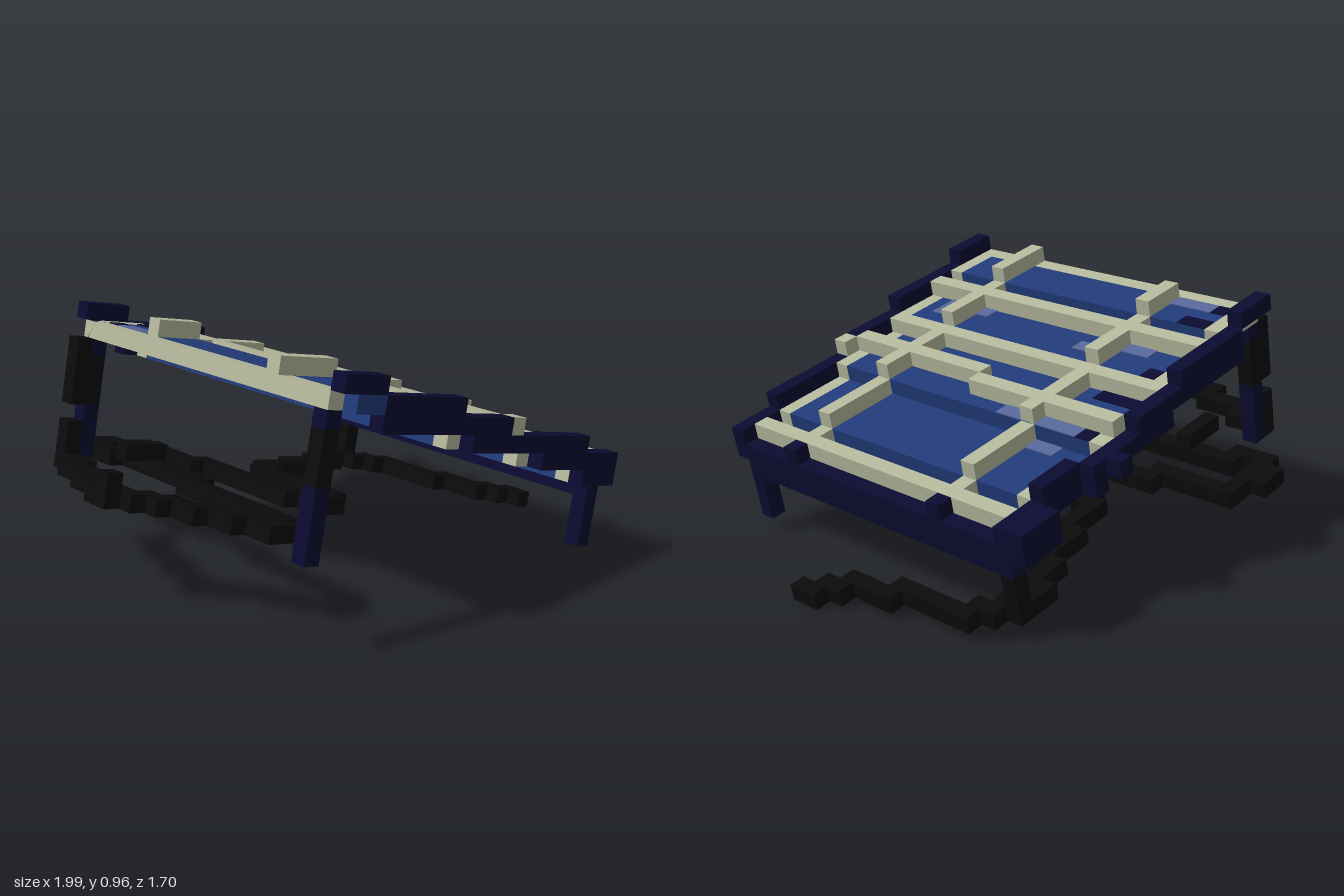
import * as THREE from 'three';

const S = 0.063; // block size
const mat = (name, color) => Object.assign(new THREE.MeshStandardMaterial({ color, flatShading: true }), { name });

export function createModel() {
  const navy = mat('navy frame', 0x0b0a30), beige = mat('beige slats', 0xb4b89c);
  const blue = mat('blue panel', 0x213a78), pale = mat('pale glint', 0x56669a), black = mat('black cable', 0x0b0b0b);
  const root = new THREE.Group(), tilted = new THREE.Group();
  root.name = 'solarTable';
  tilted.name = 'tiltedBlocks';
  root.rotation.y = 0.007;
  tilted.rotation.z = -0.1974;
  root.add(tilted);

  // Box over inclusive block ranges: i along x, k up, j from front to back
  function box(name, m, i0, i1, k0, k1, j0, j1, thin = 0) {
    const h = thin || (k1 - k0 + 1) * S;
    const mesh = new THREE.Mesh(new THREE.BoxGeometry((i1 - i0 + 1) * S, h, (j1 - j0 + 1) * S), m);
    mesh.position.set(-1.06 + (i0 + i1 + 1) / 2 * S, 0.193 + k0 * S + h / 2, 0.85 - (j0 + j1 + 1) / 2 * S);
    mesh.name = name;
    tilted.add(mesh);
  }

  // Stepped panel: [first column, last column, row, last blue block in depth]
  const steps = [[4, 7, 8, 22], [8, 12, 7, 22], [13, 18, 6, 22], [19, 19, 5, 22], [20, 23, 5, 21], [24, 25, 4, 21]];
  for (const [a, b, k, back] of steps) {
    box('panelStep', blue, Math.max(a, 5), b, k, k, 2, back - 1);
    box('frontBorder', beige, a, b, k, k, 1, 1);
    box('backBorder', beige, a, b, k, k, back, back);
    // raised cross slats following the steps
    box('crossSlat', beige, a, b, k + 1, k + 1, 5, 5);
    box('crossSlat', beige, Math.max(a, 5), b, k + 1, k + 1, 17, 17);
  }
  box('panelEdge', blue, 5, 6, 8, 8, 0, 0);

  // Long slats: [column, row, front, back]
  for (const [i, k, a, b] of [[4, 8, 1, 22], [9, 8, 1, 22], [13, 7, 1, 22], [16, 7, 1, 11], [17, 7, 12, 22], [25, 5, 1, 21], [17, 7, 0, 0]])
    box('longSlat', beige, i, i, k, k, a, b);

  // Pale and dark marks on the panel: [colour, column, row below, front, back]
  const marks = [
    [pale, 5, 8, 17, 20], [pale, 10, 7, 16, 19], [pale, 11, 7, 15, 16], [pale, 18, 6, 15, 20],
    [pale, 19, 5, 16, 19], [pale, 20, 5, 16, 16], [pale, 10, 7, 3, 6], [pale, 11, 7, 3, 4],
    [navy, 5, 8, 21, 21], [navy, 7, 8, 20, 21], [navy, 12, 7, 21, 21], [navy, 14, 6, 19, 21], [navy, 18, 6, 21, 21],
  ];
  for (const [m, i, k, a, b] of marks) box('panelMark', m, i, i, k + 1, k + 1, a, b, 0.004);

  // Stepped side rails: [first column, last column, row]
  const rail = [[4, 6, 9], [7, 12, 8], [7, 16, 7], [14, 23, 6], [20, 26, 5], [24, 26, 4]];
  for (const [a, b, k] of rail) {
    box('frontRail', navy, a, b, k, k, 0, 0);
    if (a < 21) box('backRail', navy, a, Math.min(b, 20), k, k, 23, 23);
    if (b > 20) box('backRail', navy, Math.max(a, 21), b, k, k, 22, 22);
  }
  box('backCorner', navy, 24, 26, 4, 5, 23, 23);
  box('backKnob', navy, 19, 19, 6, 6, 24, 24);
  box('lowRail', navy, 26, 26, 3, 4, 1, 22);
  box('railKnob', navy, 26, 26, 5, 5, 5, 5);
  box('railKnob', navy, 26, 26, 5, 5, 17, 17);

  // Legs
  for (const j of [1, 22]) {
    box('tallLeg', navy, 4, 4, 0, 3, j, j);
    box('tallLegCable', black, 4, 4, 4, 6, j, j);
    box('tallLeg', navy, 4, 4, 7, j === 1 ? 7 : 8, j, j);
  }
  box('shortLeg', navy, 26, 26, 0, 2, 1, 1);
  box('shortLegCable', black, 26, 26, 0, 2, 22, 22);

  // Cable climbing the back leg, and its raised pieces
  box('climbingCable', black, 3, 3, 4, 7, 22, 22);
  box('climbingCable', black, 3, 3, 0, 2, 22, 22);
  box('raisedCable', black, 0, 0, 1, 1, 13, 13);
  box('raisedCable', black, 6, 8, 1, 1, 20, 20);

  // Ground cable through [column, depth] points
  const path = [
    [3, 22], [3, 21], [2, 20], [2, 18], [1, 17], [1, 15], [0, 14], [0, 13], [1, 13], [1, 12], [2, 12], [3, 11], [3, 10],
    [4, 9], [4, 8], [5, 7], [5, 6], [6, 5], [7, 6], [7, 12], [8, 15], [8, 20], [7, 23], [7, 25], [8, 25], [9, 26], [10, 25],
    [11, 25], [11, 21], [12, 20], [12, 14], [13, 12], [14, 10], [15, 11], [15, 16], [16, 18], [19, 19], [22, 20], [24, 21],
    [26, 22], [27, 21], [28, 20], [28, 16], [29, 15], [29, 12], [30, 12], [31, 11], [31, 10],
  ];
  for (let n = 1; n < path.length; n++) {
    const [a, c] = path[n - 1], [b, d] = path[n];
    if (c !== d) box('groundCable', black, a, a, 0, 0, Math.min(c, d), Math.max(c, d));
    if (a !== b) box('groundCable', black, Math.min(a, b), Math.max(a, b), 0, 0, d, d);
  }
  return root;
}
